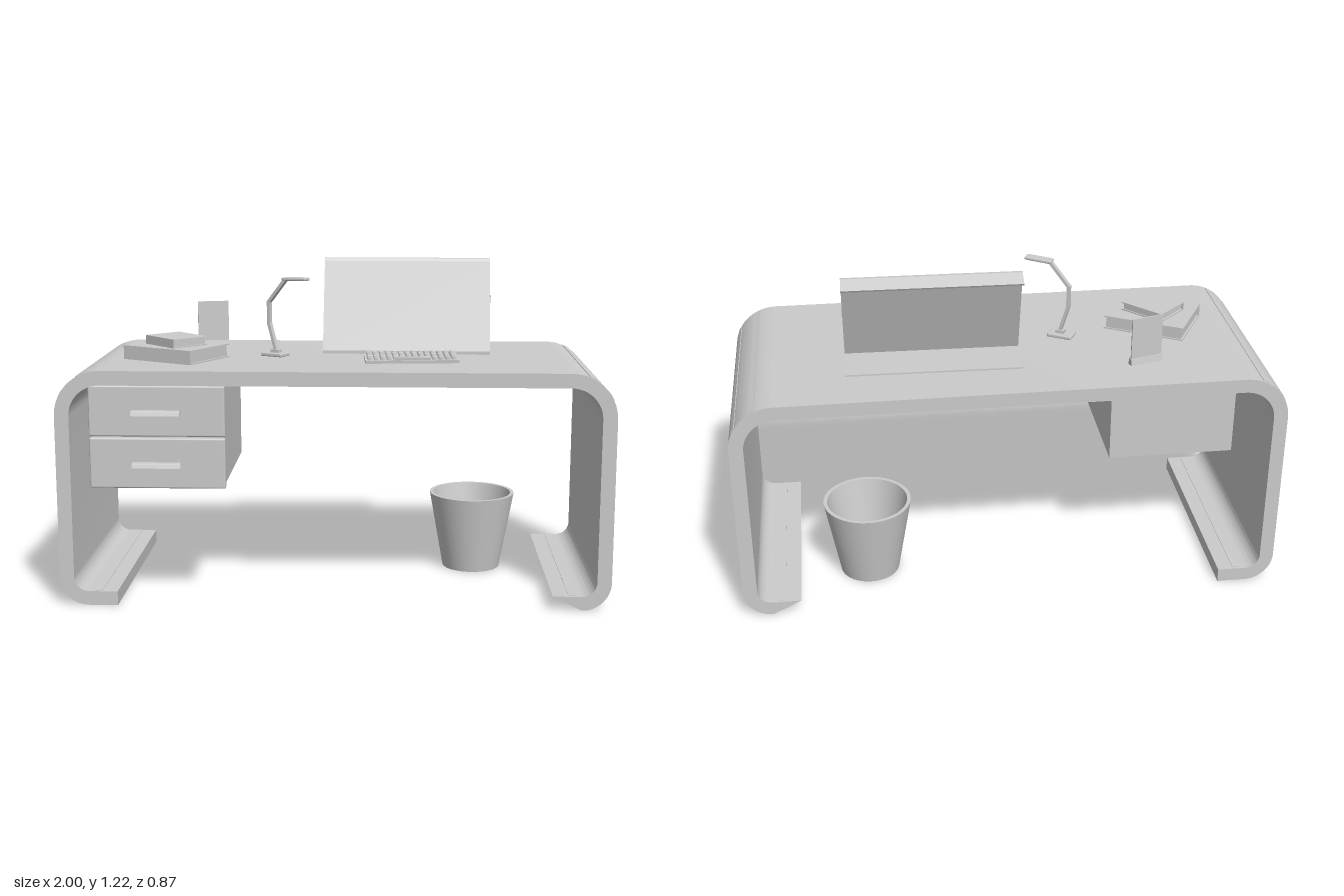
import * as THREE from 'three';
import { toCreasedNormals } from 'three/addons/utils/BufferGeometryUtils.js';
import { RoundedBoxGeometry } from 'three/addons/geometries/RoundedBoxGeometry.js';

const material = new THREE.MeshStandardMaterial({ color: 0xcccccc });
const TOP = 0.865; // height of the desk surface

function add(parent, name, geometry, x = 0, y = 0, z = 0) {
  const mesh = new THREE.Mesh(geometry, material);
  mesh.name = name;
  mesh.position.set(x, y, z);
  parent.add(mesh);
  return mesh;
}

function addGroup(parent, name, x, y, z, turn = 0) {
  const group = new THREE.Group();
  group.name = name;
  group.position.set(x, y, z);
  group.rotation.y = turn;
  parent.add(group);
  return group;
}

const box = (w, h, d) => new THREE.BoxGeometry(w, h, d);

// A closed [z, y] outline swept along x and centred on it
function sweepX(outline, width) {
  const shape = new THREE.Shape(outline.map(([z, y]) => new THREE.Vector2(-z, y)));
  const geometry = new THREE.ExtrudeGeometry(shape, { depth: width, bevelEnabled: false });
  return geometry.rotateY(Math.PI / 2).translate(-width / 2, 0, 0);
}

// Continuous bent ribbon: top, two sides and two inward feet
function addDesk(parent) {
  const t = 0.052, R = 0.165, r = 0.105, foot = 0.79, H = Math.PI / 2;
  const s = new THREE.Shape();
  s.moveTo(foot, 0);
  s.absarc(1 - r, r, r, -H, 0, false);
  s.absarc(1 - R, TOP - R, R, 0, H, false);
  s.absarc(R - 1, TOP - R, R, H, 2 * H, false);
  s.absarc(r - 1, r, r, 2 * H, 3 * H, false);
  s.lineTo(-foot, 0);
  s.lineTo(-foot, t);
  s.absarc(r - 1, r, r - t, 3 * H, 2 * H, true);
  s.absarc(R - 1, TOP - R, R - t, 2 * H, H, true);
  s.absarc(1 - R, TOP - R, R - t, H, 0, true);
  s.absarc(1 - r, r, r - t, 0, -H, true);
  s.lineTo(foot, t);
  s.closePath();
  const geometry = new THREE.ExtrudeGeometry(s, { depth: 0.85, bevelEnabled: false, curveSegments: 16 });
  add(parent, 'deskRibbon', toCreasedNormals(geometry, 0.5), 0, 0, -0.435);

  // Inlay strips along the shoulders and the feet
  for (const side of [-1, 1]) {
    for (const degrees of [29, 63]) {
      const a = THREE.MathUtils.degToRad(degrees);
      const x = side * (1 - R + R * Math.cos(a));
      const strip = add(parent, 'shoulderStrip', box(0.004, 0.025, 0.83), x, TOP - R + R * Math.sin(a), -0.01);
      strip.rotation.z = side * a;
    }
    add(parent, 'footStrip', box(0.025, 0.004, 0.83), side * 0.86, t, -0.01);
  }
}

function addDrawers(parent) {
  const unit = addGroup(parent, 'drawerUnit', -0.635, 0, 0);
  add(unit, 'drawerCase', box(0.475, 0.372, 0.585), 0, 0.628, 0.0875);
  const hook = [[-0.002, 0.008], [0.022, 0.008], [0.032, 0.004], [0.036, -0.008],
    [0.03, -0.008], [0.026, -0.001], [0.02, 0.002], [-0.002, 0.002]];
  for (const y of [0.528, 0.718]) {
    add(unit, 'drawerFront', new RoundedBoxGeometry(0.49, 0.184, 0.026, 2, 0.006), 0, y, 0.388);
    add(unit, 'drawerHandle', sweepX(hook, 0.175), 0, y - 0.003, 0.4);
  }
}

function addBin(parent) {
  const profile = [[0, 0], [0.112, 0], [0.166, 0.3], [0.152, 0.3], [0.1, 0.014], [0, 0.014]]
    .map(([x, y]) => new THREE.Vector2(x, y));
  add(parent, 'wasteBin', toCreasedNormals(new THREE.LatheGeometry(profile, 40), 0.6), 0.525, 0, -0.16);
}

// Leaning screen, base and top lip as one folded sheet
function addMonitor(parent) {
  const outline = [[0.1, 0], [0.1, 0.012], [-0.095, 0.008], [-0.095, 0.002]].map(([z, y]) => [z, y]);
  const monitor = addGroup(parent, 'monitor', 0.26, TOP, -0.15, -0.022);
  add(monitor, 'monitorBase', sweepX(outline, 0.64));
  add(monitor, 'monitorPanel', sweepX([[0.078, 0.004], [0.098, 0.004], [-0.028, 0.346], [-0.034, 0.357],
    [-0.048, 0.358], [-0.1, 0.335], [-0.096, 0.328], [-0.05, 0.343]], 0.64));
  add(monitor, 'monitorButton', box(0.004, 0.03, 0.008), 0.321, 0.205, 0.017);
}

function addKeyboard(parent) {
  const keyboard = addGroup(parent, 'keyboard', 0.275, TOP + 0.011, 0.135, 0.07);
  keyboard.rotation.x = 0.09;
  add(keyboard, 'keyboardTray', box(0.345, 0.012, 0.12));
  const columns = 14, rows = 5, pitch = 0.0238, rowPitch = 0.0225;
  for (let row = 0; row < rows; row++) {
    const z = (row - (rows - 1) / 2) * rowPitch;
    for (let column = 0; column < columns; column++) {
      // Front row: one wide space bar in place of the middle keys
      if (row === rows - 1 && column > 3 && column < 10) continue;
      const key = new THREE.CylinderGeometry(0.0105, 0.014, 0.012, 4).rotateY(Math.PI / 4);
      add(keyboard, 'key', key, (column - (columns - 1) / 2) * pitch, 0.011, z);
    }
  }
  add(keyboard, 'spaceBar', box(pitch * 6 - 0.005, 0.011, 0.018), 0, 0.0105, rowPitch * 2);
}

// Desk lamp built in its own plane, then turned
function addLamp(parent) {
  const lamp = addGroup(parent, 'lamp', -0.24, TOP, 0.01, -0.52);
  add(lamp, 'lampBase', new RoundedBoxGeometry(0.095, 0.014, 0.062, 2, 0.004), 0, 0.007, 0);
  add(lamp, 'lampSocket', box(0.035, 0.014, 0.026), 0.005, 0.018, 0);
  const joints = [[0.008, 0.015], [-0.025, 0.125], [-0.025, 0.205], [0.05, 0.292]];
  for (let i = 0; i < joints.length - 1; i++) {
    const [x0, y0] = joints[i], [x1, y1] = joints[i + 1];
    const length = Math.hypot(x1 - x0, y1 - y0);
    const arm = add(lamp, 'lampArm', box(0.012, length + 0.006, 0.018), (x0 + x1) / 2, (y0 + y1) / 2, 0);
    arm.rotation.z = -Math.atan2(x1 - x0, y1 - y0);
  }
  const head = add(lamp, 'lampHead', new RoundedBoxGeometry(0.105, 0.012, 0.036, 2, 0.004), 0.095, 0.296, 0);
  head.rotation.z = 0.03;
}

function addBook(parent, width, height, depth, y, turn) {
  const book = addGroup(parent, 'book', -0.605, y, 0.085, turn);
  const cover = 0.005;
  for (const level of [cover / 2, height - cover / 2]) {
    add(book, 'bookCover', box(width, cover, depth), 0, level, 0);
  }
  add(book, 'bookSpine', box(width, height, cover), 0, height / 2, (depth - cover) / 2);
  add(book, 'bookPages', box(width - 0.016, height - cover, depth - 0.01), 0, height / 2, 0);
}

function addCardStand(parent) {
  const stand = addGroup(parent, 'cardStand', -0.507, TOP, -0.25, 0.27);
  add(stand, 'standBase', sweepX([[-0.012, 0], [0.012, 0], [0.008, 0.024], [-0.008, 0.024]], 0.128));
  add(stand, 'standCard', box(0.122, 0.158, 0.005), 0, 0.101, 0);
}

export function createModel() {
  const model = new THREE.Group();
  model.name = 'officeDesk';
  addDesk(model);
  addDrawers(model);
  addBin(model);
  addMonitor(model);
  addKeyboard(model);
  addLamp(model);
  addBook(model, 0.31, 0.052, 0.243, TOP, -0.507);
  addBook(model, 0.184, 0.033, 0.152, TOP + 0.052, -0.82);
  addCardStand(model);
  return model;
}
